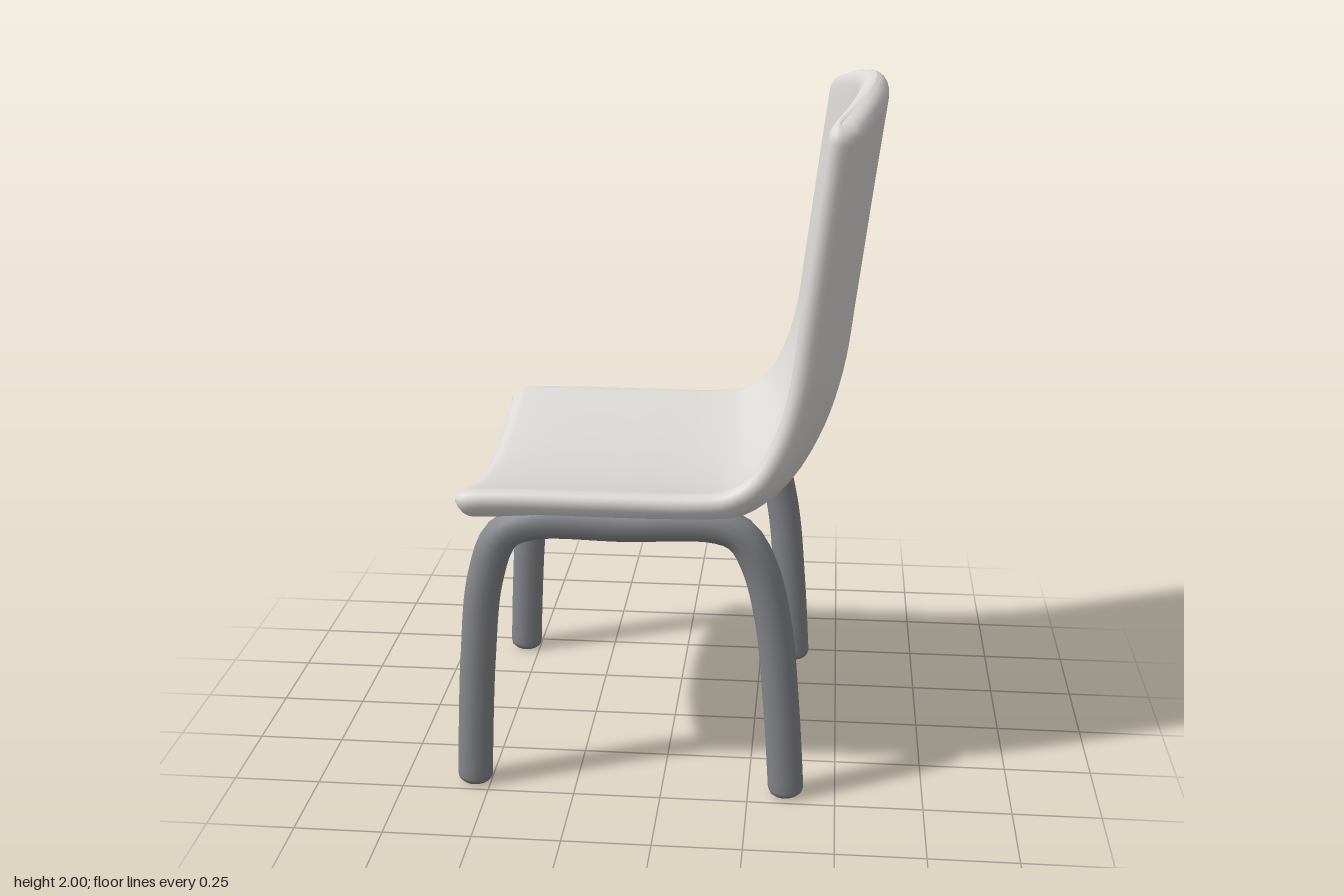
import * as THREE from 'three';

const shellMat = new THREE.MeshStandardMaterial({ name: 'warm light grey', color: 0xdbd9d6 });
const frameMat = new THREE.MeshStandardMaterial({ name: 'steel grey', color: 0x85878b });

// Skin a row of closed rings with smooth quads
function loft(rings) {
  const n = rings[0].length, pos = [], index = [];
  rings.forEach(r => r.forEach(p => pos.push(p.x, p.y, p.z)));
  for (let i = 0; i < rings.length - 1; i++) {
    for (let j = 0; j < n; j++) {
      const a = i * n + j, b = i * n + (j + 1) % n;
      index.push(a, b, a + n, b, b + n, a + n);
    }
  }
  const g = new THREE.BufferGeometry();
  g.setAttribute('position', new THREE.Float32BufferAttribute(pos, 3));
  g.setIndex(index);
  g.computeVertexNormals();
  return g;
}

// Quarter-round falloff: 0 at an edge, 1 from distance r inwards
const round = (d, r) => d >= r ? 1 : Math.sqrt(Math.max(0, 1 - (1 - d / r) ** 2));

// Positions from 0 to len, packed closely inside the rounded ends
function stations(len, r, count) {
  const ends = [0, 1, 2, 3, 4].map(i => r * (1 - Math.cos(i * Math.PI / 10)));
  const mid = [];
  for (let i = 0; i <= count; i++) mid.push(r + (len - 2 * r) * i / count);
  return [...ends, ...mid, ...ends.map(d => len - d).reverse()];
}

// One-piece seat and back: dished across, bent along its length
function shellGeometry() {
  const half = 0.042, rim = 0.05, sag = 0.085, corner = 0.05;
  const edge = new THREE.CatmullRomCurve3([
    [-0.572, 0.882], [-0.45, 0.889], [-0.15, 0.89], [0.1, 0.892], [0.19, 0.904], [0.265, 0.953],
    [0.328, 1.06], [0.37, 1.2], [0.397, 1.4], [0.43, 1.67], [0.463, 1.93],
  ].map(([x, y]) => new THREE.Vector3(x, y, 0)));
  edge.arcLengthDivisions = 600;
  const len = edge.getLength();
  const across = stations(1, rim, 24).map(v => v * 2 - 1);

  return loft(stations(len, rim, 56).map(s => {
    const u = Math.min(1, s / len);
    const p = edge.getPointAt(u), t = edge.getTangentAt(u);
    const out = new THREE.Vector3(t.y, -t.x, 0);
    const d = Math.min(s, len - s);
    const width = 0.5 - 0.021 * THREE.MathUtils.smoothstep(s, 0.7, 1.1)
      - corner * (1 - round(d, corner));
    const crown = 0.08 * THREE.MathUtils.smoothstep(s, len - 0.5, len);
    const at = (w, side) => {
      const bow = 1 - w * w;
      const h = half * round(d, rim) * round((1 - Math.abs(w)) * 0.5, rim);
      const q = p.clone().addScaledVector(out, sag * bow - side * h).addScaledVector(t, crown * bow);
      q.z = w * width;
      return q;
    };
    return [...across.map(w => at(w, 1)), ...across.slice(1, -1).reverse().map(w => at(w, -1))];
  }));
}

// Round bar along a planar path; side is the plane's normal, radii(u) gives [in plane, across]
function bar(points, side, radii, us, sides = 14) {
  const path = new THREE.CatmullRomCurve3(points);
  return loft(us.map(u => {
    const p = path.getPointAt(u), t = path.getTangentAt(u);
    const n = side.clone().cross(t), [rn, rb] = radii(u), ring = [];
    for (let j = 0; j < sides; j++) {
      const a = j / sides * Math.PI * 2;
      ring.push(p.clone().addScaledVector(n, rn * Math.cos(a)).addScaledVector(side, rb * Math.sin(a)));
    }
    return ring;
  }));
}

export function createModel() {
  const group = new THREE.Group();
  const add = (name, geo, mat) => {
    const m = new THREE.Mesh(geo, mat);
    m.name = name;
    group.add(m);
    return m;
  };

  add('seatShell', shellGeometry(), shellMat);

  // Side frames: front leg, rail and back leg in one bent tube with softened feet
  const legPath = [
    [-0.547, 0], [-0.538, 0.2], [-0.525, 0.4], [-0.497, 0.64], [-0.445, 0.775], [-0.36, 0.815], [-0.1, 0.819],
    [0.15, 0.824], [0.22, 0.797], [0.272, 0.71], [0.314, 0.54], [0.341, 0.28], [0.36, 0],
  ].map(([x, y]) => new THREE.Vector3(x, y, 0));
  const foot = [0, 0.0001, 0.004, 0.009];
  const along = [...foot];
  for (let i = 1; i < 70; i++) along.push(0.009 + 0.982 * i / 70);
  along.push(...foot.map(u => 1 - u).reverse());
  const legRadii = u => {
    const d = Math.min(u, 1 - u);
    const k = d < 0.00005 ? 0 : d < 0.003 ? 0.72 : d < 0.006 ? 0.92 : 1;
    return [k * 0.051, k * 0.045];
  };
  const legs = bar(legPath, new THREE.Vector3(0, 0, 1), legRadii, along);
  for (const [name, z] of [['rightSideFrame', 0.445], ['leftSideFrame', -0.445]]) {
    add(name, legs, frameMat).position.z = z;
  }

  // Sagging crossbar that flares into a web where it joins the rails
  const crossPath = [
    [0.818, -0.445], [0.795, -0.36], [0.742, -0.2], [0.718, -0.08], [0.709, 0],
    [0.718, 0.08], [0.742, 0.2], [0.795, 0.36], [0.818, 0.445],
  ].map(([y, z]) => new THREE.Vector3(-0.11, y, z));
  const crossRadii = u => {
    const e = Math.abs(u * 2 - 1);
    return [0.031 + 0.012 * e, 0.036 + 0.07 * e ** 4];
  };
  const crossUs = Array.from({ length: 41 }, (_, i) => i / 40);
  add('crossbar', bar(crossPath, new THREE.Vector3(1, 0, 0), crossRadii, crossUs), frameMat);

  return group;
}
